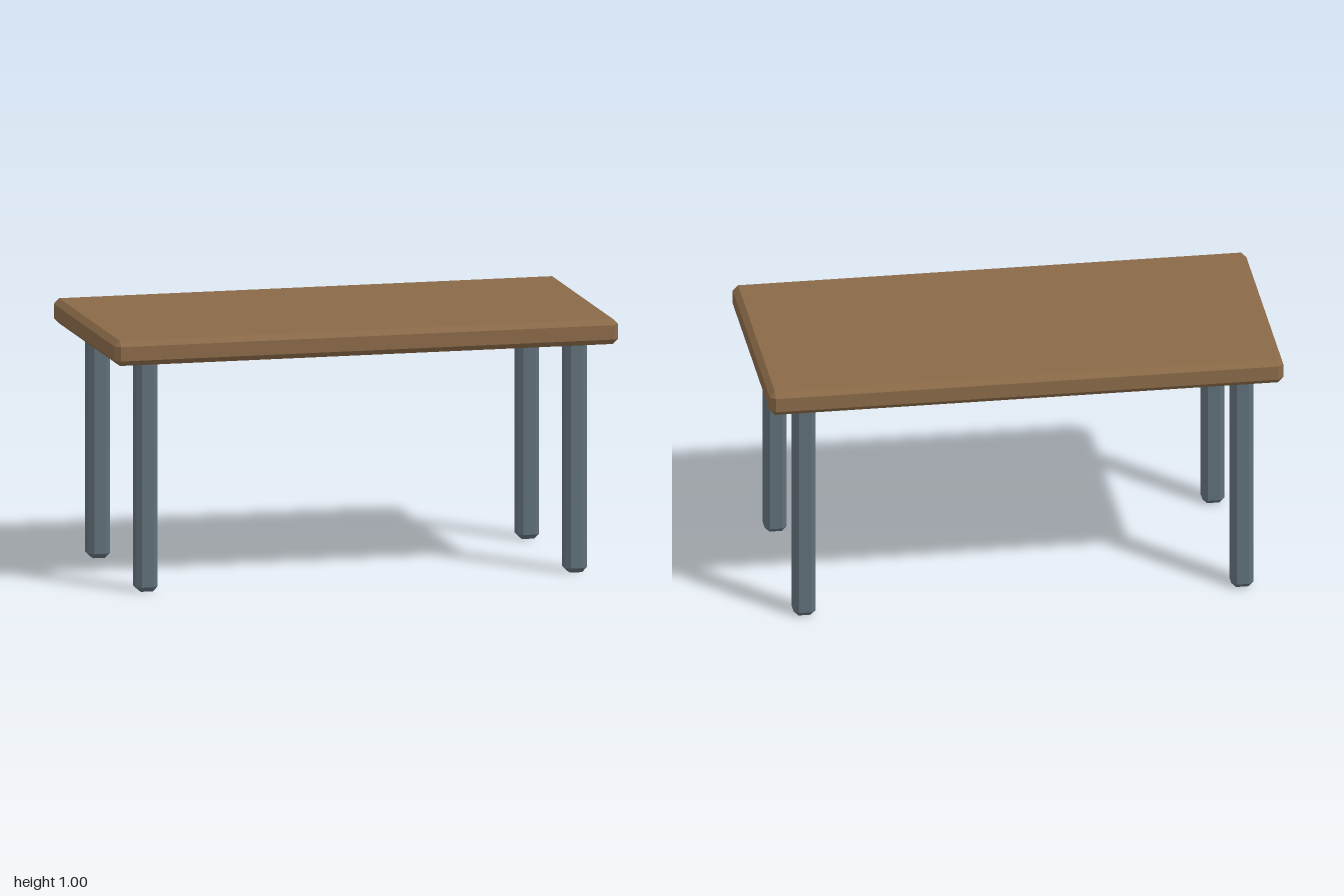
import * as THREE from 'three';
import { ConvexGeometry } from 'three/addons/geometries/ConvexGeometry.js';

// Box with every edge and corner cut by a flat chamfer c
function chamferedBox(w, h, d, c) {
  const half = [w / 2, h / 2, d / 2];
  const points = [];
  for (const sx of [-1, 1]) for (const sy of [-1, 1]) for (const sz of [-1, 1]) {
    for (let axis = 0; axis < 3; axis++) {
      const inset = half.map((v, i) => (i === axis ? v : v - c));
      points.push(new THREE.Vector3(sx * inset[0], sy * inset[1], sz * inset[2]));
    }
  }
  return new ConvexGeometry(points);
}

export function createModel() {
  const table = new THREE.Group();
  table.name = 'table';
  const wood = new THREE.MeshStandardMaterial({ color: 0x8a6a48, flatShading: true });
  const metal = new THREE.MeshStandardMaterial({ color: 0x606f78, flatShading: true });

  // Slab
  const top = new THREE.Mesh(chamferedBox(2, 0.098, 1, 0.021), wood);
  top.name = 'tableTop';
  top.position.y = 0.951;
  table.add(top);

  // Four legs, their upper chamfers sunk into the slab
  const legHeight = 0.925;
  const legGeometry = chamferedBox(0.086, legHeight, 0.086, 0.019);
  for (const [side, x] of [['Left', 0.852], ['Right', -0.852]]) {
    for (const [end, z] of [['front', 0.376], ['back', -0.376]]) {
      const leg = new THREE.Mesh(legGeometry, metal);
      leg.name = `${end}${side}Leg`;
      leg.position.set(x, legHeight / 2, z);
      table.add(leg);
    }
  }
  return table;
}
